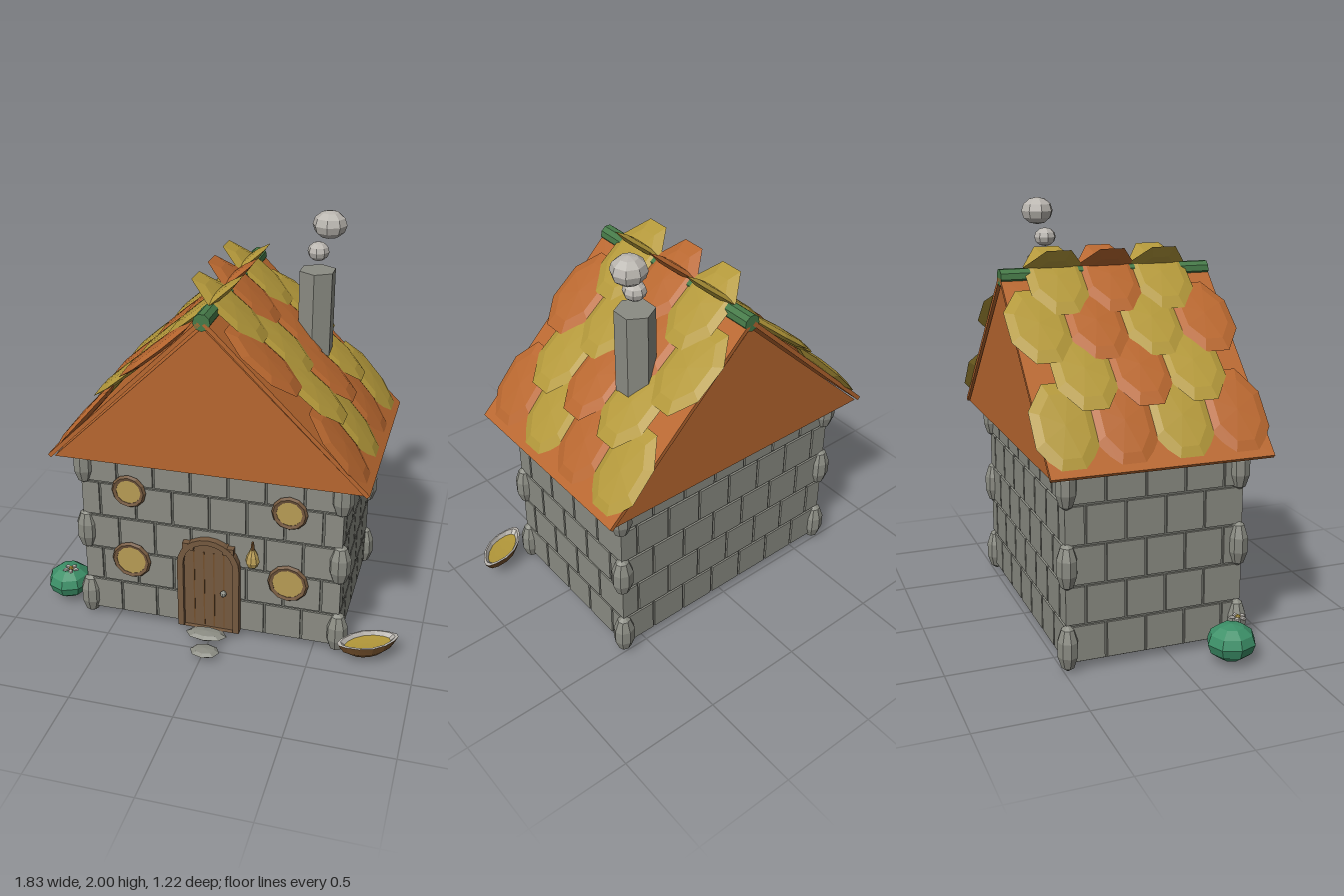
import * as THREE from 'three';

const mat = (name, color) => {
  const m = new THREE.MeshStandardMaterial({ color });
  m.name = name;
  return m;
};

// Faceted version of a geometry
const flat = (geo) => {
  const g = geo.index ? geo.toNonIndexed() : geo;
  g.computeVertexNormals();
  return g;
};

export function createModel() {
  const stone = mat('stone grey', 0x8b8c83);
  const grout = mat('grout grey', 0x6a6b64);
  const orange = mat('roof orange', 0xb8672f);
  const yellow = mat('roof yellow', 0xb3983a);
  const glass = mat('window amber', 0xb89c55);
  const wood = mat('door wood', 0x75593f);
  const green = mat('ridge green', 0x467a48);
  const teal = mat('bush teal', 0x3c9068);
  const pale = mat('pale smoke', 0xbab6b0);
  const brown = mat('shell brown', 0x74502c);

  const model = new THREE.Group();
  const CX = -0.015, CZ = -0.07, W = 1.28, D = 0.84, Y0 = 0.04, Y1 = 0.93;

  const add = (name, geo, material, x = 0, y = 0, z = 0, parent = model) => {
    const mesh = new THREE.Mesh(geo, material);
    mesh.name = name;
    mesh.position.set(x, y, z);
    parent.add(mesh);
    return mesh;
  };
  const box = (w, h, d) => new THREE.BoxGeometry(w, h, d);
  const blob = (rx, ry, rz, seg = 8, rows = 6) =>
    flat(new THREE.SphereGeometry(1, seg, rows).scale(rx, ry, rz));

  // Masonry: a core with staggered courses of blocks on all four walls
  add('wallCore', box(W - 0.02, Y1 - Y0, D - 0.02), grout, CX, (Y0 + Y1) / 2, CZ);
  const courses = [0.04, 0.218, 0.402, 0.586, 0.77, 0.93];
  const gap = 0.012, deep = 0.03;
  const wall = (name, length, count, dist, turn) => {
    const group = new THREE.Group();
    group.name = name;
    group.position.set(CX, 0, CZ);
    group.rotation.y = turn;
    model.add(group);
    const unit = length / count;
    for (let r = 0; r < 5; r++) {
      const h = courses[r + 1] - courses[r];
      let a = 0;
      let b = r % 2 ? unit / 2 : unit;
      while (a < length - 0.001) {
        const end = Math.min(b, length);
        const left = a === 0 ? 0 : gap / 2, right = end >= length - 0.001 ? 0 : gap / 2;
        add('stoneBlock', box(end - a - left - right, h - gap, deep), stone,
          (a + left + end - right) / 2 - length / 2, courses[r] + h / 2, dist - deep / 2, group);
        a = end;
        b = end + unit;
      }
    }
  };
  wall('frontWall', W, 7, D / 2, 0);
  wall('backWall', W, 7, D / 2, Math.PI);
  wall('leftWall', D, 4.5, W / 2, Math.PI / 2);
  wall('rightWall', D, 4.5, W / 2, -Math.PI / 2);

  // Long rounded stones at the corners
  const cornerGeo = blob(0.055, 0.112, 0.05, 8, 5);
  for (const sx of [-1, 1]) for (const z of [0.335, -0.48]) for (const y of [0.115, 0.495, 0.86])
    add('cornerStone', cornerGeo, stone, CX + sx * 0.63, y, z);

  // Gable body
  const gable = new THREE.Shape();
  gable.moveTo(-0.735, 0.925);
  gable.lineTo(0.735, 0.925);
  gable.lineTo(0, 1.64);
  gable.closePath();
  add('gableRoof', new THREE.ExtrudeGeometry(gable, { depth: 1.0, bevelEnabled: false }),
    orange, CX, 0, CZ - 0.505);

  // Roof boards and scale shingles, mirrored on both slopes
  const slope = Math.atan2(0.735, 0.745);
  const boardGeo = box(1.045, 0.02, 1.025);
  const scaleGeo = flat(new THREE.SphereGeometry(1, 8, 4).rotateY(Math.PI / 8).scale(0.23, 0.022, 0.152));
  const wide = [0.32, 0.055, -0.21, -0.475], narrow = [0.18, -0.075, -0.33];
  const rows = [ // offset from ridge, height, tilt, z positions, first colour
    [0.605, 1.108, 0.86, wide, 0],
    [0.434, 1.305, 0.69, narrow, 1],
    [0.247, 1.48, 0.69, wide, 0],
    [0.06, 1.655, 0.69, narrow, 1],
  ];
  for (const s of [-1, 1]) {
    add('roofBoard', boardGeo, orange, CX + s * 0.383, 1.296, CZ - 0.002).rotation.z = -s * slope;
    for (const [off, y, tilt, zs, first] of rows)
      zs.forEach((z, i) => {
        const m = (i + first) % 2 ? yellow : orange;
        add('roofScale', scaleGeo, m, CX + s * off, y, z).rotation.z = -s * tilt;
      });
  }
  add('ridgePole', flat(new THREE.CylinderGeometry(0.04, 0.04, 1.025, 9).rotateX(Math.PI / 2)),
    green, CX, 1.668, CZ - 0.002);

  // Chimney and smoke
  add('chimney', flat(new THREE.CylinderGeometry(0.09, 0.09, 0.54, 6)), stone, 0.35, 1.45, -0.255);
  add('smallSmokePuff', blob(0.052, 0.045, 0.055), pale, 0.35, 1.81, -0.255);
  add('largeSmokePuff', blob(0.082, 0.066, 0.08), pale, 0.395, 1.934, -0.28);

  // Round windows
  for (const [x, y, r] of [[-0.41, 0.748, 0.085], [0.375, 0.748, 0.085], [-0.41, 0.364, 0.098], [0.375, 0.364, 0.098]]) {
    add('windowFrame', flat(new THREE.TorusGeometry(r - 0.012, 0.014, 5, 12)), wood, x, y, 0.362);
    add('windowPane', flat(new THREE.CylinderGeometry(r - 0.01, r - 0.01, 0.016, 12).rotateX(Math.PI / 2)),
      glass, x, y, 0.36);
  }

  // Arched door with frame, planks and knob
  const arch = (Kind, w, spring, rise) => {
    const s = new Kind();
    s.moveTo(-w, 0);
    s.lineTo(w, 0);
    s.lineTo(w, spring);
    s.absellipse(0, spring, w, rise, 0, Math.PI, false);
    s.lineTo(-w, 0);
    return s;
  };
  const extrude = (shape, depth) =>
    flat(new THREE.ExtrudeGeometry(shape, { depth, bevelEnabled: false, curveSegments: 6 }));
  const frame = arch(THREE.Shape, 0.155, 0.36, 0.15);
  frame.holes.push(arch(THREE.Path, 0.125, 0.36, 0.122));
  add('doorFrame', extrude(frame, 0.045), wood, CX, Y0, 0.34);
  for (const s of [-1, 1])
    add('frameEar', box(0.055, 0.035, 0.045), wood, CX + s * 0.1, 0.5, 0.361);
  add('door', extrude(arch(THREE.Shape, 0.125, 0.36, 0.122), 0.022), wood, CX, Y0, 0.34);
  for (const x of [-0.075, -0.025, 0.025, 0.075])
    add('plankSeam', box(0.006, 0.42, 0.004), brown, CX + x, 0.26, 0.363);
  add('doorKnob', blob(0.016, 0.016, 0.016), stone, 0.06, 0.255, 0.375);

  // Hanging lantern
  const gourd = [[0, -0.055], [0.024, -0.045], [0.035, -0.018], [0.028, 0.012], [0.012, 0.045], [0, 0.05]]
    .map(([r, y]) => new THREE.Vector2(r, y));
  add('lantern', flat(new THREE.LatheGeometry(gourd, 8)), glass, 0.205, 0.488, 0.378);
  add('lanternStem', flat(new THREE.CylinderGeometry(0.006, 0.012, 0.055, 6)), brown, 0.205, 0.548, 0.378);

  // Stepping stones
  add('stepStone', blob(0.104, 0.02, 0.055, 8, 4), stone, -0.015, 0.036, 0.42);
  add('stepStone', blob(0.072, 0.018, 0.055, 8, 4), stone, 0.015, 0.037, 0.552);

  // Round bush with a small flower
  add('bush', blob(0.11, 0.085, 0.115, 8, 6), teal, -0.808, 0.1, 0.235);
  const petal = blob(0.018, 0.007, 0.013, 6, 4);
  for (let i = 0; i < 5; i++) {
    const a = (i / 5) * Math.PI * 2;
    add('petal', petal, pale, -0.778 + Math.cos(a) * 0.026, 0.195, 0.28 - Math.sin(a) * 0.026).rotation.y = a;
  }
  add('flowerCentre', blob(0.013, 0.01, 0.013, 6, 4), yellow, -0.778, 0.198, 0.28);
  add('flowerStem', new THREE.CylinderGeometry(0.005, 0.005, 0.06, 5), green, -0.778, 0.168, 0.28);

  // Leaf-shaped nutshell bowl: lathed, then pinched towards its tips
  const shell = new THREE.Group();
  shell.name = 'shellBowl';
  shell.position.set(0.772, 0, 0.375);
  shell.rotation.y = 0.5;
  model.add(shell);
  const leaf = (points) => {
    const g = new THREE.LatheGeometry(points.map(([r, y]) => new THREE.Vector2(r, y)), 14);
    const p = g.attributes.position;
    for (let i = 0; i < p.count; i++) {
      const x = p.getX(i);
      p.setXYZ(i, x * 0.155, p.getY(i), p.getZ(i) * 0.075 * (1 - 0.35 * x * x));
    }
    return flat(g);
  };
  add('shellOuter', leaf([[0, 0.05], [0.5, 0.052], [0.82, 0.082], [1, 0.125]]), brown, 0, 0, 0, shell);
  add('shellRim', leaf([[1, 0.125], [0.88, 0.127], [0.74, 0.108]]), pale, 0, 0, 0, shell);
  add('shellFilling', leaf([[0.76, 0.108], [0.4, 0.106], [0, 0.105]]), yellow, 0, 0, 0, shell);

  return model;
}
